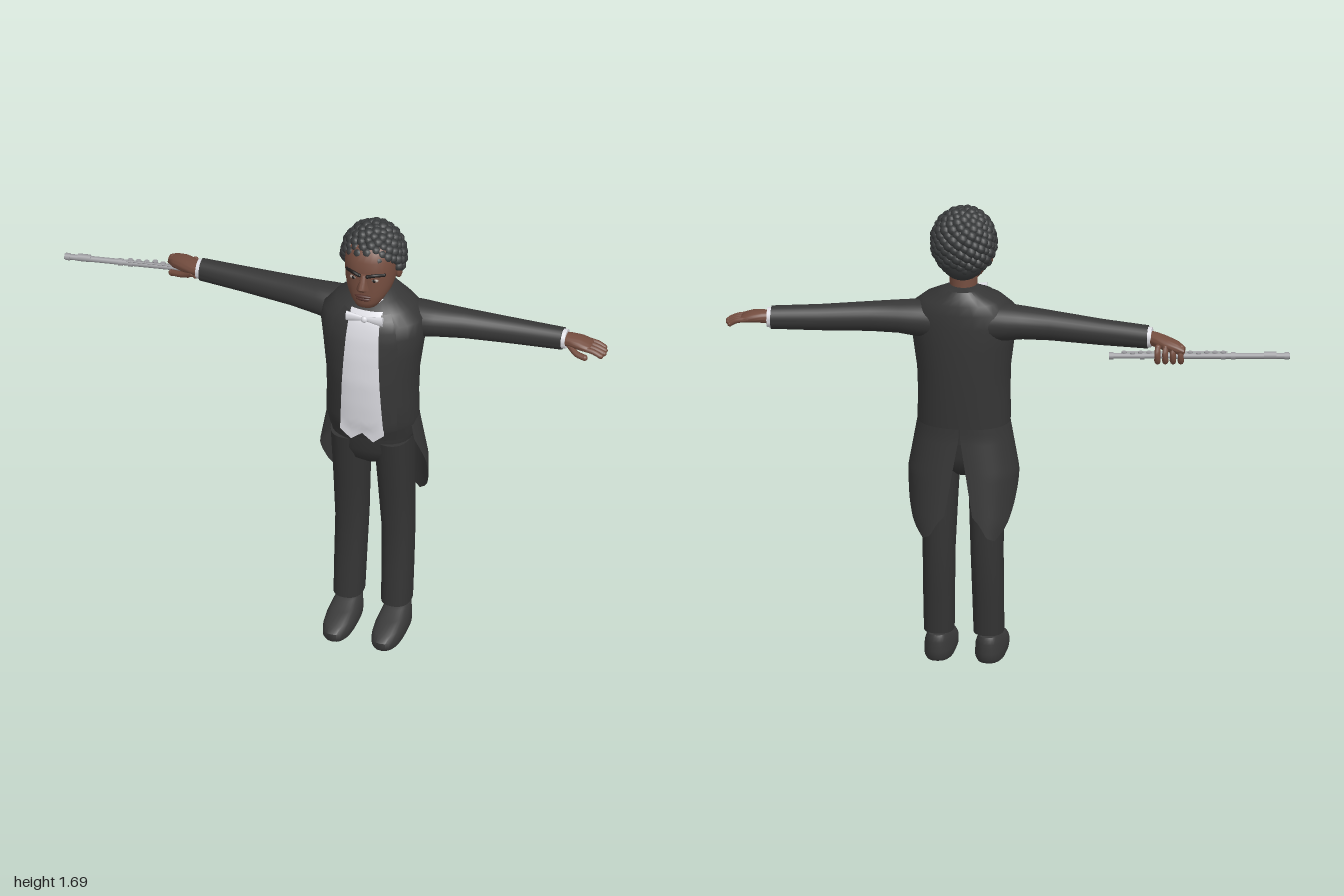
import * as THREE from 'three';
import { toCreasedNormals } from 'three/addons/utils/BufferGeometryUtils.js';

const mat = (name, color, side = THREE.FrontSide) => {
  const m = new THREE.MeshStandardMaterial({ color, side });
  m.name = name;
  return m;
};
const V = (x, y, z) => new THREE.Vector3(x, y, z);
const { lerp } = THREE.MathUtils;

// linear interpolation in column k of a table whose first column ascends
function interp(table, t, k = 1) {
  if (t <= table[0][0]) return table[0][k];
  for (let i = 1; i < table.length; i++) {
    const a = table[i - 1], b = table[i];
    if (t <= b[0]) return lerp(a[k], b[k], (t - a[0]) / (b[0] - a[0]));
  }
  return table[table.length - 1][k];
}

// closed skin over superellipse rings; rows are [position, centre1, radius1, centre2, radius2]
function loft(rows, axis = 'y', n = 2.3, seg = 28) {
  const pos = [], idx = [];
  const put = (t, a, b) => (axis === 'y' ? pos.push(a, t, b) : pos.push(t, a, b));
  const pw = (v) => Math.sign(v) * Math.abs(v) ** (2 / n);
  for (const [t, c1, r1, c2, r2] of rows)
    for (let j = 0; j < seg; j++) {
      const a = (j / seg) * Math.PI * 2;
      put(t, c1 + r1 * pw(Math.cos(a)), c2 + r2 * pw(Math.sin(a)));
    }
  const flip = (axis === 'x') === (rows[1][0] > rows[0][0]);
  const tri = (a, b, c) => (flip ? idx.push(a, c, b) : idx.push(a, b, c));
  const last = rows.length - 1, cap = rows.length * seg;
  for (const r of [rows[0], rows[last]]) put(r[0], r[1], r[3]);
  for (let j = 0; j < seg; j++) {
    const k = (j + 1) % seg;
    for (let i = 0; i < last; i++) {
      const a = i * seg + j, b = i * seg + k;
      tri(a, a + seg, b);
      tri(b, a + seg, b + seg);
    }
    tri(cap, j, k);
    tri(cap + 1, last * seg + k, last * seg + j);
  }
  const g = new THREE.BufferGeometry();
  g.setAttribute('position', new THREE.Float32BufferAttribute(pos, 3));
  g.setIndex(idx);
  return toCreasedNormals(g, 0.9);
}
// vertical loft from rows of [y, halfWidth, frontZ, backZ]
const body = (rows, cx = 0, n = 2.3) =>
  loft(rows.map(([y, hx, f, b]) => [y, cx, hx, (f + b) / 2, (f - b) / 2]), 'y', n);

// open sheet through f(u, v)
function sheet(f, nu, nv) {
  const g = new THREE.PlaneGeometry(1, 1, nu, nv), p = g.attributes.position, uv = g.attributes.uv;
  for (let i = 0; i < p.count; i++) p.setXYZ(i, ...f(uv.getX(i), 1 - uv.getY(i)));
  g.computeVertexNormals();
  return g;
}

const TORSO = [
  [0.84, 0.155, 0.1, -0.12], [0.89, 0.163, 0.118, -0.125], [0.91, 0.165, 0.126, -0.127], [1.0, 0.162, 0.133, -0.135],
  [1.1, 0.165, 0.136, -0.142], [1.2, 0.178, 0.128, -0.146], [1.28, 0.19, 0.116, -0.146],
  [1.33, 0.182, 0.1, -0.143], [1.365, 0.14, 0.082, -0.138], [1.39, 0.092, 0.045, -0.13], [1.412, 0.06, 0.0, -0.118],
];
function chestZ(x, y) {
  const h = interp(TORSO, y, 1), f = interp(TORSO, y, 2), b = interp(TORSO, y, 3);
  return (f + b) / 2 + ((f - b) / 2) * Math.max(0, 1 - Math.abs(x / h) ** 2.3) ** (1 / 2.3);
}

export function createModel() {
  const suit = mat('suit black', 0x363636, THREE.DoubleSide);
  const trouser = mat('trouser black', 0x343434);
  const shoeMat = mat('shoe black', 0x3a3a3a);
  const hairMat = mat('hair black', 0x383a3b);
  const white = mat('shirt white', 0xdcdce2, THREE.DoubleSide);
  const skin = mat('skin', 0x744d3f);
  const lip = mat('lip', 0x55332c);
  const dark = mat('brow and pupil', 0x201c1b);
  const eyeWhite = mat('eye white', 0xa79a92);
  const silver = mat('silver', 0x9c9ca0);

  const root = new THREE.Group();
  const fig = new THREE.Group();
  fig.name = 'musician';
  fig.position.x = 0.17;
  root.add(fig);
  const add = (name, geo, m, p = [0, 0, 0], s = [1, 1, 1]) => {
    const o = new THREE.Mesh(geo, m);
    o.name = name;
    o.position.set(...p);
    o.scale.set(...s);
    fig.add(o);
    return o;
  };
  const ball = new THREE.SphereGeometry(1, 16, 12);
  const tube = (name, pts, r, m) => {
    add(name, new THREE.TubeGeometry(new THREE.CatmullRomCurve3(pts), 10, r, 8), m);
    for (const p of [pts[0], pts[pts.length - 1]]) add(name + 'End', ball, m, p.toArray(), [r, r, r]);
  };

  // jacket, shirt front with pointed waistcoat hem, collar
  add('jacket', body(TORSO), suit);
  const hem = [[0, 0.885], [0.25, 0.848], [0.5, 0.88], [0.75, 0.848], [1, 0.885]];
  add('shirtFront', sheet((u, v) => {
    const x = (u - 0.5) * 2 * lerp(0.058, 0.082, v), y = lerp(1.375, interp(hem, u), v);
    return [x, y, Math.max(chestZ(x, y), y < 0.91 ? 0.118 : -1) + 0.006];
  }, 16, 24), white);
  add('collar', body([[1.35, 0.066, 0.075, -0.085], [1.375, 0.062, 0.064, -0.08], [1.398, 0.055, 0.046, -0.078]], 0, 2), white);
  for (const s of [-1, 1]) {
    const wing = new THREE.CylinderGeometry(0.02, 0.009, 0.062, 12).rotateZ(-s * Math.PI / 2);
    add('bowTieWing', wing, white, [s * 0.036, 1.355, 0.096], [1, 1, 0.5]);
  }
  add('bowTieKnot', ball, white, [0, 1.355, 0.1], [0.012, 0.013, 0.01]);

  // hips
  add('hips', body([[0.7, 0.03, 0.04, -0.05], [0.73, 0.1, 0.075, -0.085], [0.78, 0.145, 0.093, -0.1], [0.87, 0.15, 0.1, -0.105]]), trouser);

  const outer = [[0, 0.085], [0.08, 0.11], [0.25, 0.124], [0.6, 0.12], [1, 0.122]];
  const tailHem = [[0, 0.83], [0.2, 0.7], [0.4, 0.605], [0.6, 0.525], [0.75, 0.492], [0.88, 0.505], [1, 0.58]];
  const tailWidth = [[0.49, 0.178], [0.55, 0.192], [0.72, 0.196], [0.9, 0.164]];
  for (const s of [-1, 1]) {
    add('lapel', sheet((u, v) => {
      const y = lerp(1.37, 0.895, v), x = s * lerp(lerp(0.056, 0.08, v), interp(outer, v), u);
      return [x, y, chestZ(x, y) + 0.012 - 0.008 * u];
    }, 6, 24), suit);

    // coat tails: wrap from the hip to the centre back and end in a rounded tip
    add('coatTail', sheet((u, v) => {
      const a = lerp(0.4, -Math.PI / 2, u), y = lerp(0.9, interp(tailHem, u), v);
      const drop = Math.max(0, (0.86 - y) / 0.36), gap = 0.003 + 0.06 * drop;
      const x = gap + (interp(tailWidth, y) - gap) * Math.abs(Math.cos(a)) ** 0.8;
      return [s * x, y, -0.008 + (Math.sin(a) > 0 ? 0.12 : 0.118 + 0.032 * drop) * Math.sin(a)];
    }, 28, 20), suit);

    add('trouserLeg', loft([
      [0.105, s * 0.088, 0.053, -0.004, 0.064], [0.25, s * 0.087, 0.055, -0.016, 0.066],
      [0.42, s * 0.085, 0.057, -0.029, 0.069], [0.6, s * 0.082, 0.061, -0.016, 0.08], [0.82, s * 0.079, 0.068, -0.003, 0.097],
    ], 'y', 2.4), trouser);
    add('shoe', body([
      [0, 0.05, 0.186, -0.062], [0.012, 0.055, 0.195, -0.07], [0.035, 0.055, 0.194, -0.07], [0.052, 0.053, 0.17, -0.07],
      [0.07, 0.047, 0.105, -0.069], [0.085, 0.041, 0.055, -0.067], [0.096, 0.034, 0.03, -0.062],
    ], s * 0.09, 2.5), shoeMat);

    // sleeve and cuff
    add('sleeve', loft([
      [s * 0.1, 1.285, 0.07, -0.06, 0.07], [s * 0.17, 1.29, 0.064, -0.06, 0.07], [s * 0.22, 1.292, 0.058, -0.063, 0.065],
      [s * 0.32, 1.291, 0.053, -0.074, 0.053], [s * 0.5, 1.284, 0.047, -0.094, 0.043], [s * 0.668, 1.28, 0.042, -0.108, 0.037],
    ], 'x', 2), suit);
    add('cuff', loft([[s * 0.66, 1.28, 0.038, -0.108, 0.034], [s * 0.682, 1.28, 0.036, -0.109, 0.033]], 'x', 2), white);
  }

  // open left hand
  add('leftHand', loft([
    [0.67, 1.281, 0.024, -0.108, 0.025], [0.7, 1.282, 0.022, -0.107, 0.032], [0.735, 1.28, 0.02, -0.105, 0.038],
    [0.765, 1.274, 0.015, -0.105, 0.038], [0.775, 1.272, 0.009, -0.105, 0.034],
  ], 'x', 2.2), skin);
  for (let i = 0; i < 4; i++) {
    const z = -0.134 + i * 0.019, tip = 0.812 + [0, 0.008, 0.01, 0.004][i];
    tube('leftFinger', [V(0.75, 1.276, z), V(0.79, 1.269, z), V(tip, 1.257, z)], 0.0095, skin);
  }
  tube('leftThumb', [V(0.7, 1.27, -0.085), V(0.73, 1.256, -0.066), V(0.762, 1.25, -0.06)], 0.011, skin);

  // flute, slanted along the right arm
  const start = V(-1.17, 1.232, -0.096), end = V(-0.54, 1.232, -0.187);
  const flute = new THREE.Group();
  flute.name = 'flute';
  flute.position.copy(start);
  flute.rotation.y = Math.atan2(start.z - end.z, end.x - start.x);
  fig.add(flute);
  const length = start.distanceTo(end);
  const rod = (name, x, len, r, y = 0, z = 0, upright = false) => {
    const g = new THREE.CylinderGeometry(r, r, len, 14);
    if (!upright) g.rotateZ(Math.PI / 2);
    const o = new THREE.Mesh(g, silver);
    o.name = name;
    o.position.set(x, y, z);
    flute.add(o);
  };
  rod('tube', length / 2, length, 0.0105);
  for (const x of [0.012, 0.2, 0.235, 0.52, length - 0.008]) rod('band', x, 0.016, 0.013);
  rod('lipPlate', 0.07, 0.045, 0.0135, 0.002);
  rod('keyRod', 0.4, 0.36, 0.003, 0.012, 0.009);
  for (let i = 0; i < 13; i++) rod('key', 0.235 + i * 0.029, 0.005, 0.0095, 0.013, i % 4 === 3 ? -0.006 : 0.001, true);

  // right hand closed over the flute
  add('rightHand', loft([
    [-0.67, 1.278, 0.025, -0.108, 0.027], [-0.7, 1.276, 0.024, -0.12, 0.036], [-0.74, 1.27, 0.024, -0.139, 0.039],
    [-0.78, 1.263, 0.021, -0.154, 0.032], [-0.805, 1.258, 0.012, -0.164, 0.02],
  ], 'x', 2.2), skin);
  for (let i = 0; i < 4; i++) {
    const x = -0.712 - i * 0.027, z = lerp(start.z, end.z, (x - start.x) / (end.x - start.x));
    tube('rightFinger', [V(x, 1.268, z - 0.012), V(x, 1.246, z - 0.025), V(x, 1.219, z - 0.02), V(x + 0.006, 1.212, z + 0.008)], 0.0105, skin);
  }
  tube('rightThumb', [V(-0.7, 1.262, -0.095), V(-0.74, 1.24, -0.11), V(-0.785, 1.228, -0.126)], 0.011, skin);

  // neck, head and face
  add('neck', body([[1.34, 0.055, 0.04, -0.075], [1.4, 0.048, 0.034, -0.068], [1.48, 0.052, 0.04, -0.07]], 0, 2), skin);
  add('head', body([
    [1.403, 0.022, 0.092, 0.045], [1.412, 0.042, 0.108, 0.01], [1.435, 0.06, 0.115, -0.03], [1.465, 0.078, 0.113, -0.06],
    [1.5, 0.088, 0.112, -0.085], [1.55, 0.094, 0.108, -0.1], [1.6, 0.092, 0.106, -0.1], [1.64, 0.075, 0.08, -0.08], [1.67, 0.03, 0.03, -0.04],
  ]), skin);
  add('nose', body([[1.488, 0.016, 0.122, 0.09], [1.496, 0.023, 0.136, 0.09], [1.506, 0.02, 0.141, 0.09],
    [1.525, 0.013, 0.131, 0.09], [1.555, 0.01, 0.116, 0.09]], 0, 2), skin);
  add('upperLip', ball, lip, [0, 1.464, 0.113], [0.031, 0.007, 0.009]);
  add('lowerLip', ball, lip, [0, 1.453, 0.112], [0.027, 0.008, 0.009]);
  for (const s of [-1, 1]) {
    add('eye', ball, eyeWhite, [s * 0.038, 1.532, 0.099], [0.015, 0.007, 0.008]);
    add('pupil', ball, dark, [s * 0.038, 1.532, 0.104], [0.0065, 0.0065, 0.0045]);
    tube('eyebrow', [V(s * 0.015, 1.549, 0.11), V(s * 0.04, 1.555, 0.104), V(s * 0.068, 1.549, 0.081)], 0.0065, dark);
    add('ear', ball, skin, [s * 0.093, 1.515, -0.012], [0.012, 0.03, 0.02]);
  }

  // tight curls spread over the scalp, leaving the face free
  add('scalp', ball, hairMat, [0, 1.59, -0.022], [0.097, 0.088, 0.092]);
  add('napeHair', ball, hairMat, [0, 1.525, -0.05], [0.084, 0.09, 0.06]);
  const curl = new THREE.SphereGeometry(1, 10, 8);
  const count = 230;
  for (let i = 0; i < count; i++) {
    const h = 1 - (2 * (i + 0.5)) / count, r = Math.sqrt(1 - h * h), a = i * 2.39996;
    const y = 1.565 + 0.112 * h, z = -0.012 + 0.1 * r * Math.sin(a);
    const hairline = interp([[1.43, -0.05], [1.5, -0.02], [1.555, 0.025], [1.595, 0.06], [1.61, 0.2]], y);
    if (y < 1.445 || z > hairline) continue;
    const size = 0.0165 + 0.004 * Math.abs(Math.sin(i * 12.9));
    add('curl', curl, hairMat, [0.102 * r * Math.cos(a), y, z], [size, size, size]);
  }
  return root;
}
